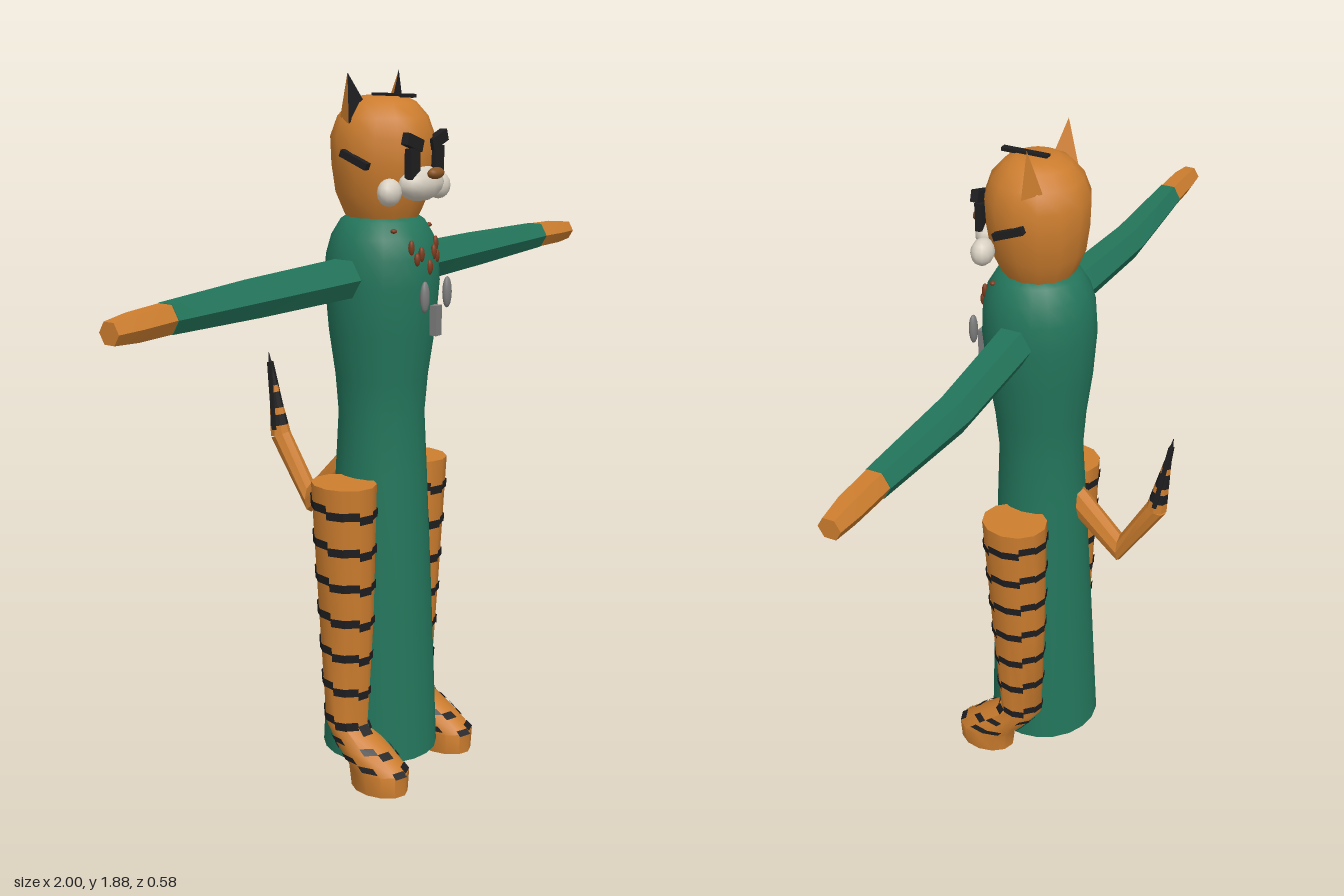
import * as THREE from 'three';
import { toCreasedNormals, mergeGeometries } from 'three/addons/utils/BufferGeometryUtils.js';

const V = (x, y, z) => new THREE.Vector3(x, y, z);
const ZC = 0.097; // depth of the body axis

// Point on a ring { c, u, v } at angle a
const ringPoint = (r, a) => r.c.clone().addScaledVector(r.u, Math.cos(a)).addScaledVector(r.v, Math.sin(a));

function fromPoints(tris) {
  const g = new THREE.BufferGeometry();
  g.setAttribute('position', new THREE.Float32BufferAttribute(tris.flatMap(p => [p.x, p.y, p.z]), 3));
  g.computeVertexNormals();
  return g;
}

// Skin through rings; u x v points along the path
function loft(rings, n, crease = 0.7, capStart = true, capEnd = true) {
  const t = [], last = rings[rings.length - 1];
  for (let j = 0; j < n; j++) {
    const a = j / n * Math.PI * 2, b = (j + 1) / n * Math.PI * 2;
    for (let i = 0; i < rings.length - 1; i++) {
      const p = ringPoint(rings[i], a), q = ringPoint(rings[i], b);
      const r = ringPoint(rings[i + 1], a), s = ringPoint(rings[i + 1], b);
      t.push(p, q, r, q, s, r);
    }
    if (capStart) t.push(rings[0].c, ringPoint(rings[0], b), ringPoint(rings[0], a));
    if (capEnd) t.push(last.c, ringPoint(last, a), ringPoint(last, b));
  }
  return toCreasedNormals(fromPoints(t), crease);
}

const upRing = (x, y, z, rx, rz = rx) => ({ c: V(x, y, z), u: V(rx, 0, 0), v: V(0, 0, -rz) });
const armRing = (s, x, y, z, ry, rz) => ({ c: V(s * x, y, z), u: V(0, 0, rz), v: V(0, -s * ry / 0.866, 0) });

// Leg and foot sections, bottom to top: x, y, z, rx, rz
const LEG = [
  [0.16, 0, 0.207, 0.06, 0.082], [0.16, 0.06, 0.205, 0.066, 0.087], [0.157, 0.105, 0.155, 0.062, 0.08],
  [0.15, 0.16, 0.095, 0.058, 0.06], [0.158, 0.5, 0.095, 0.067, 0.077], [0.168, 0.84, 0.095, 0.078, 0.09],
];
function legRing(s, y, grow = 0) {
  let i = 0;
  while (i < LEG.length - 2 && LEG[i + 1][1] < y) i++;
  const k = (y - LEG[i][1]) / (LEG[i + 1][1] - LEG[i][1]);
  const [x, yy, z, rx, rz] = LEG[i].map((m, n) => m + (LEG[i + 1][n] - m) * k);
  return upRing(s * x, yy, z, rx + grow, rz + grow);
}

// Jagged stripe wrapped around the leg, stepping up towards the back
function legStripe(s, y, n, height, keep) {
  const t = [];
  for (let j = 0; j < n; j++) {
    if (!keep(j)) continue;
    const a = j / n * Math.PI * 2, b = (j + 1) / n * Math.PI * 2;
    const y0 = y + 0.016 * Math.sin((a + b) / 2) + (j % 2 ? 0.004 : -0.004);
    const lo = legRing(s, y0, 0.004), hi = legRing(s, y0 + height, 0.004);
    const p = ringPoint(lo, a), q = ringPoint(lo, b), r = ringPoint(hi, a), w = ringPoint(hi, b);
    t.push(p, q, r, q, w, r);
  }
  return fromPoints(t);
}

export function createModel() {
  const model = new THREE.Group();
  const mat = (name, color, side = THREE.FrontSide) => {
    const m = new THREE.MeshStandardMaterial({ color, side });
    m.name = name;
    return m;
  };
  const fur = mat('orangeFur', 0xcc7d2e);
  const cloth = mat('greenCloth', 0x23755b, THREE.DoubleSide);
  const dark = mat('blackMarkings', 0x1e1e20, THREE.DoubleSide);
  const cream = mat('creamFur', 0xd8d0c2);
  const brown = mat('brownNose', 0x8a5524);
  const rust = mat('rustBeads', 0x7d3a1c);
  const grey = mat('greyMetal', 0x7c7c7c);

  const add = (name, geo, material, parent = model) => {
    const m = new THREE.Mesh(geo, material);
    m.name = name;
    parent.add(m);
    return m;
  };
  const ball = (name, material, x, y, z, rx, ry, rz) => {
    const m = add(name, new THREE.SphereGeometry(1, 12, 8), material);
    m.position.set(x, y, z);
    m.scale.set(rx, ry, rz);
    return m;
  };
  const box = (name, material, x, y, z, w, h, d, rot = [0, 0, 0]) => {
    const m = add(name, new THREE.BoxGeometry(w, h, d), material);
    m.position.set(x, y, z);
    m.rotation.set(...rot);
    return m;
  };

  // Long robe, open at the hem
  const robe = [[0.05, 0.157], [0.5, 0.138], [0.84, 0.122], [1.0, 0.114], [1.1, 0.122], [1.22, 0.139],
    [1.35, 0.15], [1.42, 0.146], [1.47, 0.132], [1.51, 0.108], [1.525, 0.085]];
  add('robe', loft(robe.map(([y, r]) => upRing(0, y, ZC, r)), 20, 1, false, true), cloth);

  // Head
  const head = [[1.5, 0.085], [1.53, 0.1], [1.58, 0.121], [1.65, 0.131], [1.72, 0.134], [1.77, 0.116],
    [1.805, 0.085], [1.82, 0.055]];
  add('head', loft(head.map(([y, r]) => upRing(0, y, ZC, r)), 14, 0.9), fur);

  // Muzzle, nose and crown stripe
  ball('muzzle', cream, 0, 1.607, 0.213, 0.085, 0.045, 0.046);
  ball('nose', brown, 0, 1.635, 0.259, 0.032, 0.015, 0.016);
  box('crownStripe', dark, 0, 1.822, 0.13, 0.018, 0.009, 0.125);

  for (const s of [-1, 1]) {
    const side = s > 0 ? 'left' : 'right';

    // Face markings
    ball(side + 'CheekPuff', cream, s * 0.112, 1.592, 0.195, 0.037, 0.035, 0.029);
    box(side + 'Eye', dark, s * 0.055, 1.66, 0.225, 0.04, 0.075, 0.02);
    box(side + 'Brow', dark, s * 0.056, 1.713, 0.226, 0.07, 0.03, 0.02, [0, 0, s * 0.32]);
    box(side + 'CheekStripe', dark, s * 0.138, 1.67, 0.108, 0.018, 0.018, 0.085, [0.38, 0, 0]);

    // Pointed ear with a dark inner face
    const tip = V(s * 0.113, 1.88, 0.068), out = V(s * 0.124, 1.755, 0.08);
    const inn = V(s * 0.058, 1.80, 0.085), back = V(s * 0.098, 1.77, 0.035);
    const tri = (a, b, c) => (s > 0 ? [a, b, c] : [a, c, b]);
    add(side + 'EarInner', fromPoints(tri(tip, inn, out)), dark);
    add(side + 'EarBack', fromPoints([...tri(tip, out, back), ...tri(tip, back, inn), ...tri(out, inn, back)]), fur);

    // Sleeve and hand, held straight out
    add(side + 'Sleeve', loft([
      armRing(s, 0.165, 1.375, 0.093, 0.047, 0.055), armRing(s, 0.5, 1.371, 0.075, 0.043, 0.05),
      armRing(s, 0.82, 1.374, 0.087, 0.034, 0.04)], 6, 0.3), cloth);
    add(side + 'Hand', loft([
      armRing(s, 0.82, 1.374, 0.087, 0.033, 0.038), armRing(s, 0.93, 1.372, 0.09, 0.031, 0.037),
      armRing(s, 1.0, 1.37, 0.09, 0.025, 0.029)], 6, 0.3), fur);

    // Leg with foot, and its stripes
    add(side + 'Leg', loft(LEG.map(([x, ...r]) => upRing(s * x, ...r)), 12, 0.8), fur);
    const stripes = [];
    for (let k = 0; k < 7; k++) stripes.push(legStripe(s, 0.765 - 0.1 * k, 12, 0.023, () => true));
    stripes.push(legStripe(s, 0.115, 12, 0.014, j => j % 3 !== 0));
    stripes.push(legStripe(s, 0.075, 12, 0.014, j => j % 3 !== 1));
    add(side + 'LegStripes', mergeGeometries(stripes), dark);

    // Hanging bead necklace, one half
    for (const [x, y, z, h] of [[0.08, 1.492, 0.187, 0.006], [0.055, 1.45, 0.224, 0.02],
      [0.045, 1.42, 0.235, 0.017], [0.028, 1.432, 0.237, 0.02]]) {
      ball(side + 'Bead', rust, s * x, y, z, 0.009, h, 0.008);
    }
    ball(side + 'Pendant', grey, s * 0.052, 1.328, 0.264, 0.016, 0.041, 0.011);
  }
  ball('centreBead', rust, 0, 1.397, 0.244, 0.009, 0.02, 0.008);
  box('centrePendant', grey, 0, 1.262, 0.264, 0.026, 0.078, 0.02);

  // Bent tail: y, z, direction (dy, dz), half width across, half thickness
  const tailRing = ([y, z, dy, dz, rx, r]) => ({
    c: V(0, y, z), u: V(rx, 0, 0), v: V(0, dz, -dy).normalize().multiplyScalar(r),
  });
  const tail = [[0.85, 0, -0.75, -0.7, 0.03, 0.04], [0.714, -0.14, 0, -1, 0.03, 0.042],
    [0.88, -0.245, 0.9, -0.4, 0.027, 0.029]].map(tailRing);
  add('tail', loft(tail, 8, 0.5), fur);

  // Tapered tail end in bands of fur and black
  const tipRing = k => tailRing([0.88 + 0.23 * k, -0.245 - 0.04 * k, 1, -0.17, 0.027 * (1 - k) + 0.001, 0.028 * (1 - k) + 0.001]);
  const cuts = [0, 0.12, 0.25, 0.33, 0.52, 0.6, 1];
  for (let i = 0; i < cuts.length - 1; i++) {
    add('tailBand', loft([tipRing(cuts[i]), tipRing(cuts[i + 1])], 8, 0.5), i % 2 ? dark : fur);
  }
  // Black streak down each side of the tail end
  for (const s of [-1, 1]) {
    const streak = box('tailStreak', dark, s * 0.014, 0.99, -0.264, 0.008, 0.19, 0.012);
    streak.rotation.set(-0.17, 0, s * 0.117);
  }
  return model;
}
